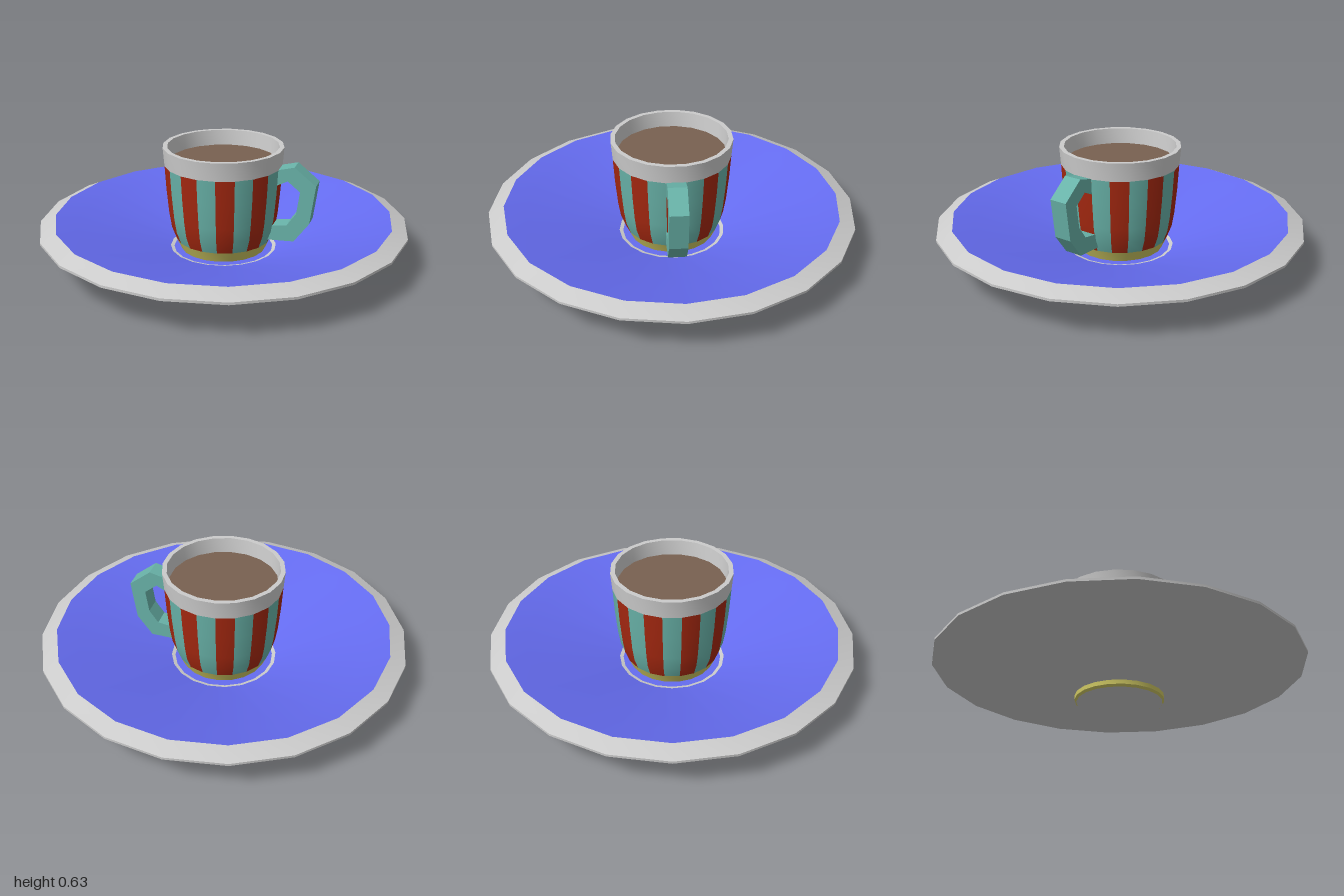
import * as THREE from 'three';
import { toCreasedNormals, mergeGeometries } from 'three/addons/utils/BufferGeometryUtils.js';

const SIDES = 20;
const STEP = (Math.PI * 2) / SIDES;
const GREY = 0xcccccc, BLUE = 0x656cf0, TEAL = 0x69b3a9;
const RED = 0xa52810, YELLOW = 0xcdc662, BROWN = 0x786150;

const points = (profile) => profile.map(([r, y]) => new THREE.Vector2(r, y));

export function createModel() {
  const model = new THREE.Group();
  model.name = 'cupAndSaucer';

  const add = (parent, name, geometry, color) => {
    const mesh = new THREE.Mesh(geometry, new THREE.MeshStandardMaterial({ color }));
    mesh.name = name;
    parent.add(mesh);
    return mesh;
  };
  // Turned part: round about the axis, sharp where the profile bends strongly
  const turned = (parent, name, profile, color, start = 0) =>
    add(parent, name, toCreasedNormals(
      new THREE.LatheGeometry(points(profile), SIDES, start, Math.PI * 2), 0.5), color);

  // Saucer, turned half a side so that its flats face the axes
  const saucer = new THREE.Group();
  saucer.name = 'saucer';
  model.add(saucer);
  const half = STEP / 2;
  turned(saucer, 'saucerFootBase', [[0, 0], [0.232, 0]], GREY, half);
  turned(saucer, 'saucerFoot', [[0.232, 0], [0.242, 0.012], [0.242, 0.035]], YELLOW, half);
  turned(saucer, 'saucerUnderside', [[0.242, 0.035], [0.3, 0.035], [0.81, 0.185], [1.0125, 0.19]], GREY, half);
  turned(saucer, 'saucerRim', [[1.0125, 0.19], [1.0125, 0.203], [0.927, 0.24]], GREY, half);
  turned(saucer, 'saucerSlope', [[0.927, 0.24], [0.81, 0.208], [0.295, 0.055]], BLUE, half);
  turned(saucer, 'saucerRing', [[0.295, 0.055], [0.275, 0.05]], GREY, half);
  turned(saucer, 'saucerWell', [[0.275, 0.05], [0, 0.05]], BLUE, half);

  // Cup
  const cup = new THREE.Group();
  cup.name = 'cup';
  model.add(cup);
  turned(cup, 'cupBase', [[0.235, 0.051], [0.262, 0.11]], YELLOW);
  turned(cup, 'cupRim', [[0.322, 0.535], [0.33, 0.635], [0.305, 0.635], [0.293, 0.53]], GREY);
  turned(cup, 'drink', [[0.297, 0.55], [0, 0.55]], BROWN);

  // Alternating vertical stripes, one side of the cup each
  const wall = points([[0.262, 0.11], [0.288, 0.18], [0.301, 0.26], [0.314, 0.4], [0.322, 0.535]]);
  const stripes = [[], []];
  for (let i = 0; i < SIDES; i++) {
    stripes[i % 2].push(new THREE.LatheGeometry(wall, 1, i * STEP, STEP));
  }
  add(cup, 'tealStripes', mergeGeometries(stripes[0]), TEAL);
  add(cup, 'redStripes', mergeGeometries(stripes[1]), RED);

  // Angular handle, square to one side of the cup
  const outline = [
    [0.29, 0.53], [0.325, 0.54], [0.405, 0.56], [0.523, 0.465], [0.493, 0.25], [0.41, 0.14], [0.26, 0.135],
    [0.27, 0.215], [0.37, 0.23], [0.42, 0.3], [0.438, 0.425], [0.37, 0.48], [0.31, 0.45], [0.29, 0.45],
  ];
  const width = 0.1;
  const handleGeometry = new THREE.ExtrudeGeometry(new THREE.Shape(points(outline)), {
    depth: width, bevelEnabled: false,
  });
  handleGeometry.translate(0, 0, -width / 2);
  add(cup, 'handle', handleGeometry, TEAL).rotation.y = half;

  return model;
}
